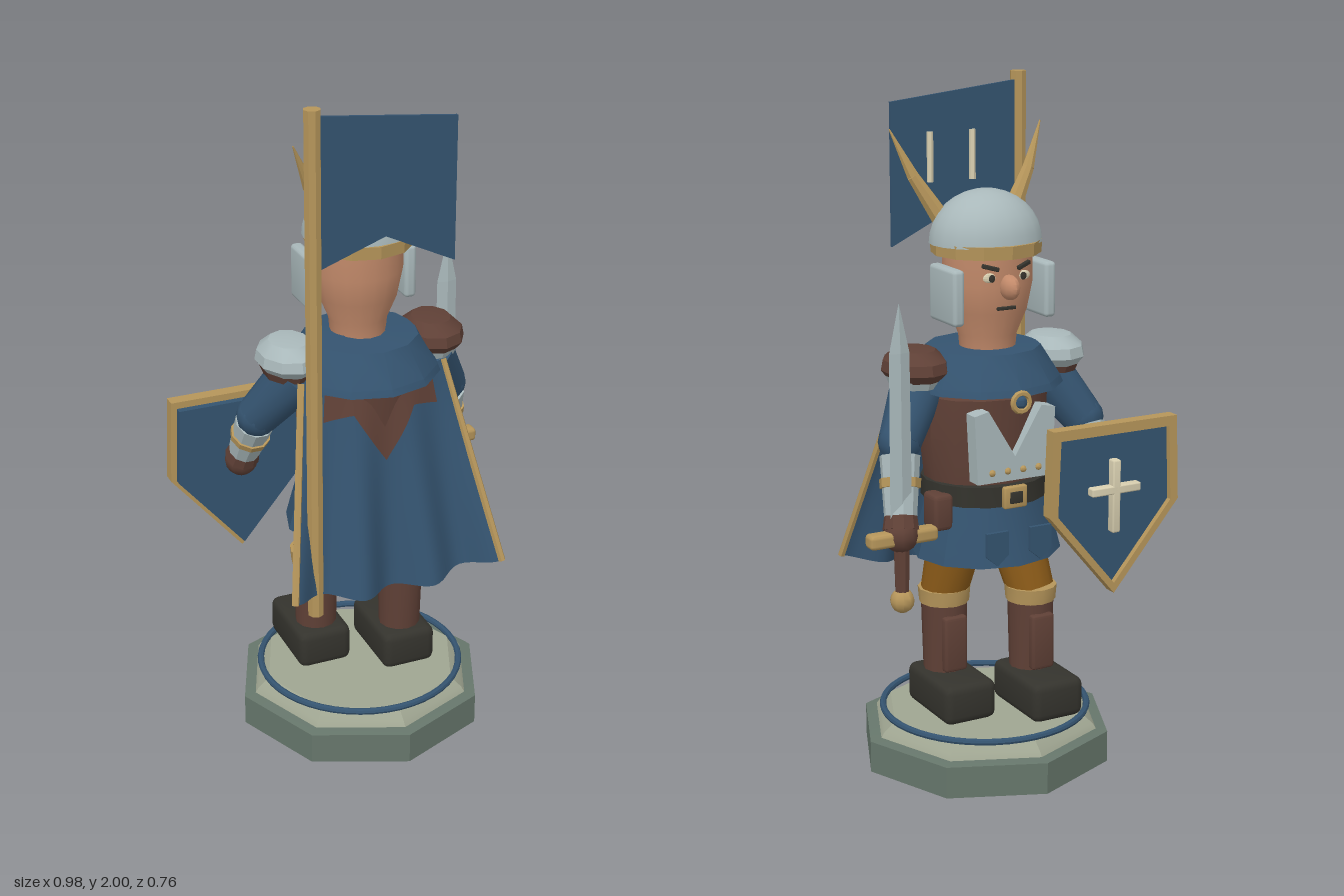
import * as THREE from 'three';
import { toCreasedNormals } from 'three/addons/utils/BufferGeometryUtils.js';
import { RoundedBoxGeometry } from 'three/addons/geometries/RoundedBoxGeometry.js';
import { ParametricGeometry } from 'three/addons/geometries/ParametricGeometry.js';

const CX = 0.037; // figure axis
const V = (x, y, z) => new THREE.Vector3(x, y, z);

export function createModel() {
  const root = new THREE.Group();
  const mat = (name, color, side = THREE.FrontSide) => {
    const m = new THREE.MeshStandardMaterial({ color, side });
    m.name = name;
    return m;
  };
  const blue = mat('blue cloth', 0x34536f, THREE.DoubleSide);
  const brown = mat('brown leather', 0x5f4036, THREE.DoubleSide);
  const steel = mat('steel', 0xa9b8ba);
  const gold = mat('gold', 0xb5955a);
  const skin = mat('skin', 0xc48b6b);
  const dark = mat('dark leather', 0x34332d);
  const stone = mat('dark stone', 0x66766b);
  const paleStone = mat('pale stone', 0x9fa591);
  const ochre = mat('ochre cloth', 0x8a5a18);
  const cream = mat('cream', 0xd8cfb0);

  const add = (name, geo, material, x = 0, y = 0, z = 0, crease = 0.5) => {
    const m = new THREE.Mesh(toCreasedNormals(geo, crease), material);
    m.name = name;
    m.position.set(x, y, z);
    root.add(m);
    return m;
  };
  const box = (name, w, h, d, material, x, y, z, r = 0.01) =>
    add(name, new RoundedBoxGeometry(w, h, d, 2, r), material, x, y, z);
  const lathe = (name, pts, seg, material, x, z, sx = 1, sz = 1) => {
    const g = new THREE.LatheGeometry(pts.map((p) => new THREE.Vector2(p[0], p[1])), seg);
    return add(name, g.scale(sx, 1, sz), material, x, 0, z);
  };
  const ball = (name, rx, ry, rz, material, x, y, z, seg = 12) =>
    add(name, new THREE.SphereGeometry(1, seg, 8).scale(rx, ry, rz), material, x, y, z, 0.8);
  // Tapered cylinder from a (radius ra) to b (radius rb)
  const limb = (name, a, b, ra, rb, material, seg = 12) => {
    const d = b.clone().sub(a);
    const m = add(name, new THREE.CylinderGeometry(rb, ra, d.length(), seg), material, 0, 0, 0, 0.6);
    m.position.copy(a).lerp(b, 0.5);
    m.quaternion.setFromUnitVectors(V(0, 1, 0), d.normalize());
    return m;
  };
  const poly = (pts) => new THREE.Shape(pts.map((p) => new THREE.Vector2(p[0], p[1])));
  const plate = (name, shape, depth, material, x, y, z) =>
    add(name, new THREE.ExtrudeGeometry(shape, { depth, bevelEnabled: false }), material, x, y, z);

  // Plinth
  lathe('plinth', [[0, 0], [0.38, 0], [0.38, 0.095], [0.345, 0.1], [0, 0.1]], 8, stone, CX, 0);
  lathe('plinthTop', [[0.345, 0.1], [0.335, 0.115], [0.3, 0.143], [0, 0.143]], 8, paleStone, CX, 0);
  add('plinthRing', new THREE.TorusGeometry(0.306, 0.01, 8, 48).rotateX(Math.PI / 2), blue, CX, 0.148, 0);

  // Legs: the -x leg steps forward
  for (const s of [-1, 1]) {
    const x = CX + s * 0.117, z = s < 0 ? -0.07 : 0.035;
    box('boot', 0.168, 0.12, 0.265, dark, x, 0.213, z - 0.045, 0.025);
    limb('lowerLeg', V(x, 0.24, z), V(x, 0.5, z), 0.062, 0.069, brown);
    box('shinGuard', 0.075, 0.17, 0.03, brown, x, 0.365, z - 0.066);
    limb('kneeCuff', V(x, 0.48, z), V(x, 0.525, z), 0.074, 0.078, gold);
    limb('thigh', V(x, 0.51, z), V(CX + s * 0.085, 0.72, 0), 0.07, 0.085, ochre);
  }

  // Body
  lathe('skirt', [[0.17, 0.66], [0.215, 0.64], [0.2, 0.7], [0.165, 0.83]], 12, blue, CX, -0.01, 1.04, 0.95);
  lathe('belt', [[0, 0.81], [0.182, 0.81], [0.182, 0.87], [0, 0.87]], 16, dark, CX, 0, 1.04, 0.97);
  lathe('jerkin', [[0.165, 0.86], [0.18, 1.0], [0.18, 1.12], [0.12, 1.19], [0, 1.2]], 14, brown, CX, 0.008, 1.08, 0.95);
  lathe('collar', [[0.2, 1.14], [0.23, 1.14], [0.222, 1.16], [0.165, 1.25], [0.07, 1.255]], 12, blue, CX, 0.005);
  box('buckle', 0.075, 0.065, 0.02, gold, CX, 0.84, -0.182, 0.006);
  box('bucklePlate', 0.04, 0.034, 0.008, dark, CX, 0.84, -0.192, 0.002);
  for (const s of [-1, 1]) {
    plate('breastplate', poly([[0, 0], [0.12, 0], [0.13, 0.2], [0.085, 0.21], [0, 0.07]].map((p) => [s * p[0], p[1]])),
      0.05, steel, CX, 0.89, -0.185);
    for (const i of [0.5, 1.5]) ball('rivet', 0.01, 0.01, 0.008, gold, CX + s * i * 0.05, 0.92, -0.187, 8);
    plate('skirtTab', poly([[-0.035, 0.1], [0.035, 0.1], [0.035, 0.03], [0, 0], [-0.035, 0.03]]),
      0.012, blue, CX + s * 0.07, 0.65, -0.212);
  }
  box('pouch', 0.06, 0.105, 0.08, brown, CX + 0.185, 0.795, -0.065, 0.012);
  add('broochRing', new THREE.TorusGeometry(0.026, 0.009, 6, 12), gold, CX, 1.125, -0.218);
  ball('broochStone', 0.018, 0.018, 0.014, blue, CX, 1.125, -0.22, 8);

  // Head and face (facing -z)
  lathe('head', [[0, 1.23], [0.08, 1.23], [0.086, 1.29], [0.115, 1.36], [0.131, 1.44], [0.13, 1.56], [0, 1.56]],
    20, skin, CX, -0.02, 1, 0.94);
  ball('nose', 0.026, 0.036, 0.042, skin, CX, 1.44, -0.15);
  box('mouth', 0.06, 0.01, 0.009, dark, CX, 1.378, -0.132, 0.003);
  for (const s of [-1, 1]) {
    ball('eye', 0.022, 0.014, 0.008, cream, CX + s * 0.053, 1.468, -0.132);
    ball('pupil', 0.01, 0.011, 0.005, dark, CX + s * 0.05, 1.467, -0.14, 8);
    const brow = box('brow', 0.05, 0.012, 0.012, dark, CX + s * 0.053, 1.497, -0.136, 0.003);
    brow.rotation.set(0, s * -0.35, s * 0.25);
    box('cheekGuard', 0.036, 0.16, 0.155, steel, CX + s * 0.146, 1.416, -0.052, 0.012);
    // Horn with a slight upward bend
    const a = V(CX + s * 0.11, 1.61, 0.045), b = V(CX + s * 0.185, 1.735, 0.075), c = V(CX + s * 0.242, 1.866, 0.106);
    limb('hornBase', a, b, 0.029, 0.018, gold, 8);
    limb('hornTip', b, c, 0.018, 0.002, gold, 8);
  }
  lathe('helmetBrim', [[0.12, 1.52], [0.158, 1.52], [0.16, 1.557], [0.12, 1.557]], 12, gold, CX, -0.012, 1, 0.98);
  add('helmetDome', new THREE.SphereGeometry(1, 20, 8, 0, Math.PI * 2, 0, Math.PI / 2).scale(0.166, 0.15, 0.147),
    steel, CX, 1.55, -0.01);

  // Arms and shoulder pads
  for (const s of [-1, 1]) {
    const shoulder = V(CX + s * 0.2, 1.16, 0.02), elbow = V(CX + s * 0.3, 1.01, -0.055);
    const hand = s > 0 ? V(0.382, 0.77, -0.148) : V(-0.282, 0.83, -0.15);
    const at = (t) => elbow.clone().lerp(hand, t);
    limb('sleeve', shoulder, elbow, 0.08, 0.062, blue);
    ball('elbow', 0.062, 0.062, 0.062, blue, elbow.x, elbow.y, elbow.z);
    limb('forearm', at(0.15), at(0.85), 0.058, 0.046, steel, 10);
    limb('forearmBand', at(0.4), at(0.5), 0.06, 0.058, gold, 10);
    limb('gloveCuff', at(0.78), at(0.95), 0.046, 0.052, brown, 10);
    ball('glove', 0.05, 0.052, 0.05, brown, hand.x, hand.y, hand.z, 10);
    const px = CX + s * 0.222;
    lathe('shoulderPadLining', [[0, 1.15], [0.075, 1.155], [0.094, 1.2], [0, 1.2]], 10, s > 0 ? steel : brown, px, 0, 0.95, 1.1);
    lathe('shoulderPad', [[0.08, 1.175], [0.1, 1.2], [0.094, 1.23], [0.06, 1.26], [0, 1.268]],
      10, s > 0 ? brown : steel, px, 0, 0.95, 1.15);
  }

  // Sword held upright in the +x hand
  const sx = 0.382, sz = -0.152;
  limb('swordGrip', V(sx, 0.59, sz), V(sx, 0.75, sz), 0.02, 0.024, brown, 8);
  ball('swordPommel', 0.035, 0.036, 0.035, gold, sx, 0.577, sz, 10);
  box('swordGuard', 0.21, 0.042, 0.048, gold, sx, 0.765, sz - 0.003, 0.012);
  const blade = new THREE.Group();
  blade.name = 'swordBlade';
  for (const [h, top, y] of [[0.51, 0.031, 1.035], [0.14, 0, 1.36]]) {
    const g = new THREE.CylinderGeometry(top, top ? 0.034 : 0.031, h, 4).scale(1, 1, 0.28);
    const m = add('bladeSection', g, steel, sx, y, sz, 0.1);
    blade.add(m);
  }
  root.add(blade);

  // Shield on the -x arm
  const outline = (k) => [[-0.208 * k, 0.255 * k], [-0.218 * k, 0], [0, -0.26 * k], [0.218 * k, 0], [0.208 * k, 0.255 * k]];
  const rim = poly(outline(1));
  rim.holes.push(poly(outline(0.88)));
  plate('shieldRim', rim, 0.04, gold, -0.27, 0.772, -0.232);
  plate('shieldPanel', poly(outline(0.92)), 0.045, blue, -0.27, 0.772, -0.215);
  box('shieldCrossUpright', 0.026, 0.22, 0.03, cream, -0.27, 0.81, -0.227, 0.005);
  box('shieldCrossBar', 0.165, 0.026, 0.03, cream, -0.27, 0.83, -0.227, 0.005);

  // Cape: u runs -1..1 across, v runs 0..1 down
  const capeAt = (u, v, out = 0) => V(
    CX + u * (0.22 + 0.107 * v),
    1.16 - v * (0.625 - 0.04 * u * u),
    (0.15 - 0.06 * u * u) * (1 - v) + (0.268 - 0.032 * Math.cos(3 * Math.PI * u)) * v + out);
  add('cape', new ParametricGeometry((a, b, p) => p.copy(capeAt(a * 2 - 1, b)), 36, 10), blue);
  for (const u of [-1, 1]) {
    const edge = new THREE.CatmullRomCurve3([0, 0.25, 0.5, 0.75, 1].map((v) => capeAt(u, v)));
    add('capeTrim', new THREE.TubeGeometry(edge, 10, 0.011, 6), gold);
  }
  // Pointed leather yoke lying on the cape
  const yokeDepth = (u) => {
    const a = Math.abs(u);
    return a < 0.4 ? 0.38 - 0.6 * a : 0.14 + 0.1 * (a - 0.4);
  };
  add('capeYoke', new ParametricGeometry((a, b, p) => {
    const u = (a * 2 - 1) * 0.74;
    p.copy(capeAt(u, 0.02 + b * (yokeDepth(u) - 0.02), 0.01));
  }, 30, 4), brown);

  // Banner on its pole
  limb('bannerPole', V(-0.195, 0.48, 0.218), V(-0.195, 2, 0.218), 0.024, 0.024, gold, 8);
  plate('bannerCloth', poly([[-0.175, 1.975], [-0.175, 1.545], [0.02, 1.615], [0.228, 1.515], [0.228, 1.93]]),
    0.009, blue, 0, 0, 0.203);
  for (const x of [-0.033, 0.105]) limb('bannerBar', V(x, 1.695, 0.2), V(x, 1.84, 0.2), 0.01, 0.01, cream, 6);

  return root;
}
